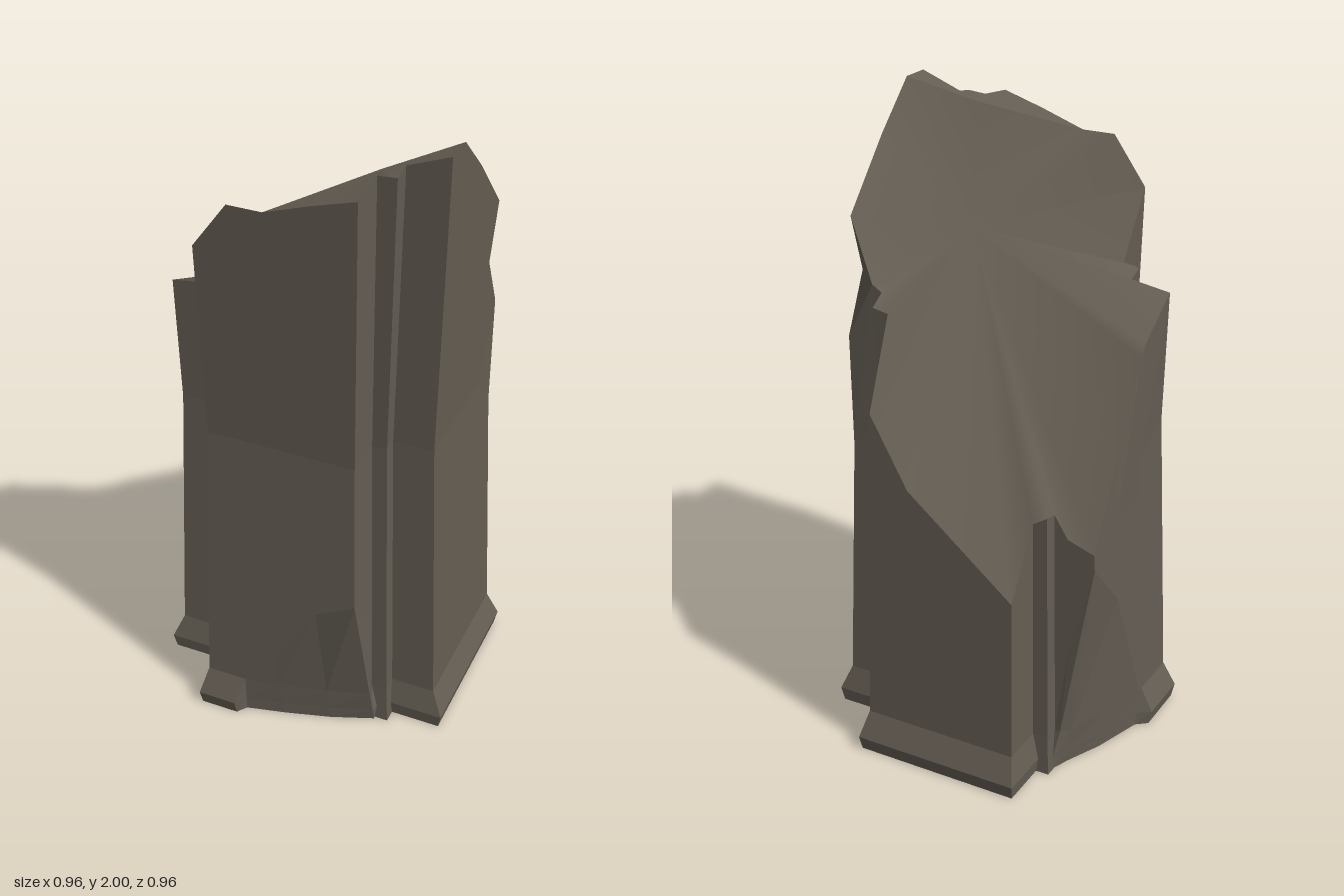
import * as THREE from 'three';

// Taper of the arms (flared foot, slim waist, wider head) and of the corner steps
const ARM_TAPER = [[0, 0.98], [0.045, 1], [0.13, 0.925], [1.05, 0.85], [2, 0.9]];
const STEP_TAPER = [[0, 0.99], [0.13, 0.965], [1.05, 0.89], [2, 0.97]];
function taper(table, y) {
  const i = Math.max(1, table.findIndex(row => y <= row[0]));
  const [y0, s0] = table[i - 1], [y1, s1] = table[i];
  return s0 + (s1 - s0) * (y - y0) / (y1 - y0);
}

// Cross-shaped outline, going round from the front.
// x, z: outline at the foot; top: height of the broken edge
// chip: [height where the chip ends, base x, base z]; lean: z of the top point
const col = (x, z, top, chip, lean) => ({ x, z, top, chip, lean });
const A = 0.48, B = 0.275, C = 0.315;
const COLUMNS = [
  // front arm, with the chipped foot
  col(-B, A, 1.68), col(-0.15, A, 1.83),
  col(-0.135, A, 1.83, [0.13, -0.125, 0.44]),
  col(-0.03, A, 1.83, [0.28, 0, 0.41]),
  col(0.13, A, 1.88, [0.48, 0.14, 0.37]),
  col(B, A, 1.92, [0.55, 0.27, 0.32]),
  col(B, C, 1.935), col(C, C, 1.94), col(C, B, 1.95),
  // left arm, with the notched upper corner
  col(A, B, 2), col(A, 0.17, 2), col(A, 0.04, 1.86, null, 0),
  col(A, -0.03, 1.66, null, -0.19), col(A, -0.165, 1.48), col(A, -B, 1.3),
  col(0.37, -B, 1.48), col(C, -B, 1.46), col(C, -C, 1.43), col(B, -C, 1.42),
  // back arm
  col(B, -A, 1.15), col(0.13, -A, 0.93), col(-B, -A, 0.65),
  col(-B, -C, 0.85), col(-C, -C, 0.88), col(-C, -B, 0.87),
  // right arm, with the sheared back corner
  col(-0.38, -B, 0.8, [0.42, -0.315, -0.262]),
  col(-A, -B, 0.77, [0.72, -0.33, -0.22]),
  col(-A, -0.1, 1.02, [0.55, -0.385, -0.1]),
  col(-A, 0.07, 1.28, [0.13, -0.435, 0.06]),
  col(-A, 0.09, 1.32), col(-A, B, 1.43),
  col(-C, B, 1.45), col(-C, C, 1.47), col(-B, C, 1.48),
];

// Points of one column from the ground to the broken edge
function columnPoints({ x, z, top, chip, lean }) {
  const scale = (v, y) => v * taper(Math.abs(v) === C ? STEP_TAPER : ARM_TAPER, y);
  const wall = y => new THREE.Vector3(scale(x, y), y, scale(z, y));
  const end = chip ? chip[0] : 0.4;
  const low = [0, 0.045, 0.13, end].map(y => {
    if (!chip || y >= end) return wall(Math.min(y, end));
    return new THREE.Vector3(chip[1], 0, chip[2]).lerp(wall(end), y / end);
  });
  const head = wall(top);
  if (lean !== undefined) head.z = lean;
  return [...low, wall(Math.min(1.05, end + (top - end) * 0.6)), head];
}

// Triangles from a centre to a run of points
function fan(centre, run) {
  const g = new THREE.BufferGeometry().setFromPoints([centre, ...run]);
  const index = [];
  for (let i = 1; i < run.length; i++) index.push(0, i, i + 1);
  g.setIndex(index);
  g.computeVertexNormals();
  return g;
}

export function createModel() {
  const group = new THREE.Group();
  group.name = 'brokenPillar';
  const stone = new THREE.MeshStandardMaterial({ color: 0x645d53 });
  stone.name = 'dark stone';
  const add = (name, geometry) => {
    const mesh = new THREE.Mesh(geometry, stone);
    mesh.name = name;
    group.add(mesh);
  };

  const columns = COLUMNS.map(columnPoints);
  const rows = columns[0].length, n = columns.length;

  // Shaft walls, one crisp strip between each pair of columns
  const points = [];
  for (let i = 0; i < n; i++) {
    const p = columns[i], q = columns[(i + 1) % n];
    for (let r = 0; r < rows - 1; r++) {
      points.push(p[r], q[r], q[r + 1], p[r], q[r + 1], p[r + 1]);
    }
  }
  const walls = new THREE.BufferGeometry().setFromPoints(points);
  walls.computeVertexNormals();
  add('shaft', walls);

  // Broken top: a hollow, a ledge in front of its ridge, and a chipped corner
  const rim = columns.map(c => c[rows - 1]);
  const ridge = new THREE.Vector3(0.235, 1.925, 0.245);
  const hollow = new THREE.Vector3(0.18, 1.58, 0.1);
  add('brokenTop', fan(hollow, [...rim.slice(0, 4), ridge, ...rim.slice(10, 13), ...rim.slice(15), rim[0]]));
  add('frontLedge', fan(ridge, rim.slice(3, 11)));
  add('chippedCorner', fan(rim[15], rim.slice(12, 15)));

  // Flat underside
  const foot = columns.map(c => c[0]);
  add('underside', fan(new THREE.Vector3(), [...foot, foot[0]].reverse()));
  return group;
}
